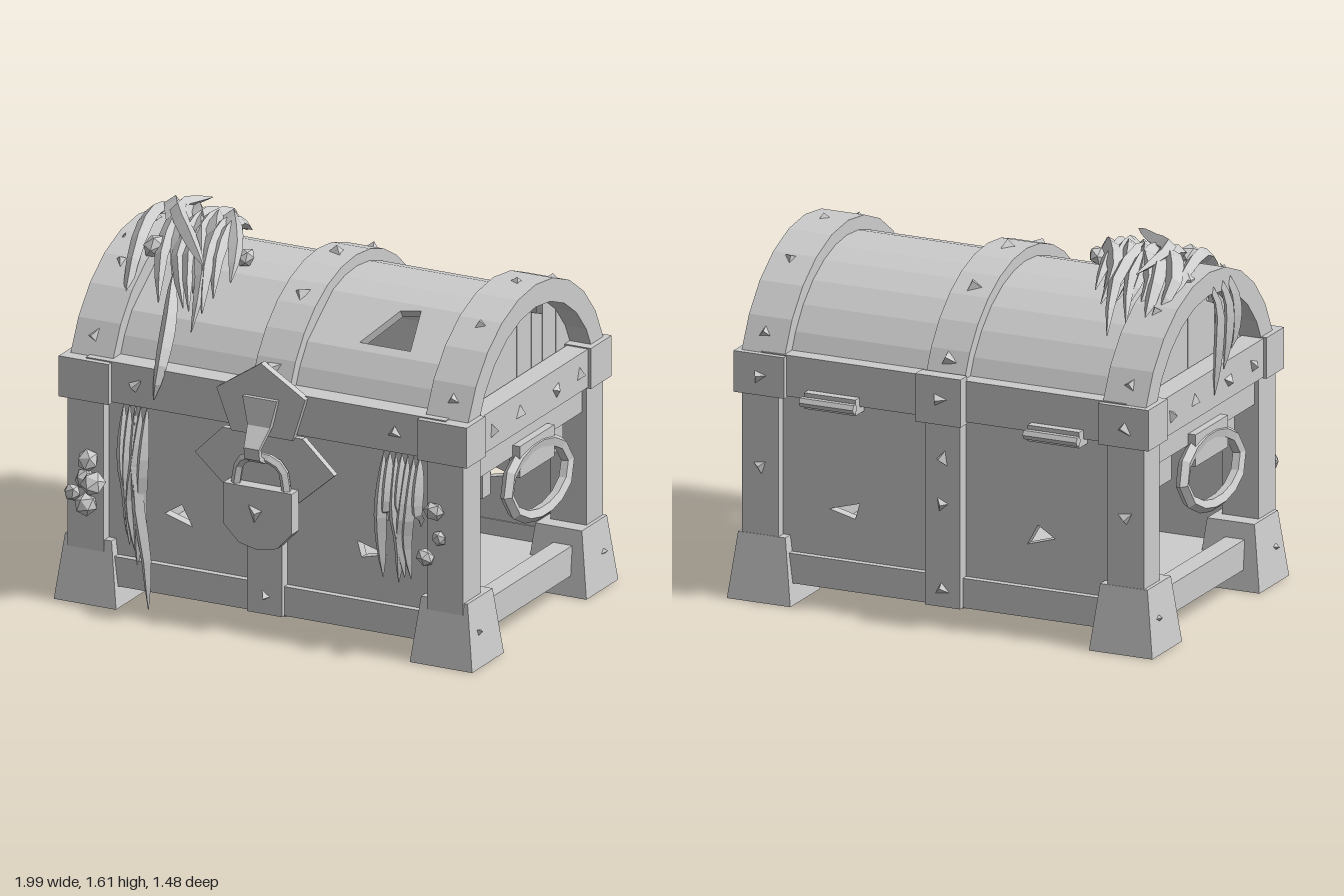
import * as THREE from 'three';

const grey = new THREE.MeshStandardMaterial({ color: 0xcccccc });
grey.name = 'plain grey';
const V = (x, y, z) => new THREE.Vector3(x, y, z);
const rad = (d) => d * Math.PI / 180;

export function createModel() {
  const root = new THREE.Group();
  root.name = 'treasureChest';

  // Faceted mesh helper
  const add = (name, geo) => {
    const g = geo.index ? geo.toNonIndexed() : geo;
    g.computeVertexNormals();
    const m = new THREE.Mesh(g, grey);
    m.name = name;
    root.add(m);
    return m;
  };
  // Box given by its limits
  const box = (name, x0, x1, y0, y1, z0, z1) => {
    const g = new THREE.BoxGeometry(x1 - x0, y1 - y0, z1 - z0);
    g.translate((x0 + x1) / 2, (y0 + y1) / 2, (z0 + z1) / 2);
    return add(name, g);
  };
  const outline = (pts) => pts.map(([x, y]) => new THREE.Vector2(x, y));
  const extrude = (pts, depth, holes = []) => {
    const s = new THREE.Shape(outline(pts));
    holes.forEach((h) => s.holes.push(new THREE.Path(outline(h))));
    return new THREE.ExtrudeGeometry(s, { depth, bevelEnabled: false });
  };
  const plate = (name, pts, z0, z1, holes) =>
    add(name, extrude(pts, z1 - z0, holes).translate(0, 0, z0));

  // The lid is a circular segment from 20 to 160 degrees; 20 is the front edge
  const ZC = -0.05, YC = 0.87;
  const arch = (deg, r) => [ZC + r * Math.cos(rad(deg)), YC + r * Math.sin(rad(deg))];
  // Profile in (z, y), extruded along x
  const alongX = (name, pts, x0, x1) =>
    add(name, extrude(pts, x1 - x0).rotateY(-Math.PI / 2).translate(x1, 0, 0));
  const band = (name, x0, x1, r, t, n) => {
    const pts = [];
    for (let i = 0; i <= n; i++) pts.push(arch(20 + 140 * i / n, r));
    for (let i = n; i >= 0; i--) pts.push(arch(20 + 140 * i / n, r - t));
    alongX(name, pts, x0, x1);
  };

  // Floor, bottom rails and broken wall panels
  box('floor', -0.9, 0.9, 0.1, 0.16, -0.6, 0.53);
  box('frontBottomRail', -0.8, 0.8, 0.1, 0.23, 0.5, 0.575);
  box('backBottomRail', -0.8, 0.8, 0.1, 0.23, -0.65, -0.57);
  box('floorStrap', -0.08, 0.08, 0.09, 0.1, -0.63, 0.56);
  const wall = [[-0.92, 0.12], [0.92, 0.12], [0.92, 0.96], [-0.92, 0.96]];
  const holes = [[[-0.5, 0.45], [-0.42, 0.5], [-0.37, 0.41]], [[0.41, 0.48], [0.55, 0.44], [0.43, 0.41]]];
  plate('frontPanel', wall, 0.5, 0.545, holes);
  plate('backPanel', wall, -0.62, -0.575, holes);

  // Feet, posts, end rails and handles on both ends
  for (const s of [-1, 1]) {
    const side = (name, x0, x1, ...r) => box(name, Math.min(s * x0, s * x1), Math.max(s * x0, s * x1), ...r);
    for (const z of [0.472, -0.555]) {
      const foot = new THREE.BoxGeometry(0.22, 0.29, 0.225);
      const p = foot.attributes.position;
      for (let i = 0; i < p.count; i++) {
        if (p.getY(i) < 0) p.setXYZ(i, p.getX(i) * 1.34, p.getY(i), p.getZ(i) * 1.27);
      }
      add('foot', foot.translate(s * 0.842, 0.155, z));
    }
    side('frontPost', 0.765, 0.935, 0.25, 0.95, 0.435, 0.595);
    side('backPost', 0.765, 0.935, 0.25, 0.95, -0.665, -0.515);
    side('endBottomRail', 0.82, 0.91, 0.1, 0.23, -0.53, 0.45);
    side('endTopRail', 0.83, 0.915, 0.8, 0.93, -0.53, 0.45);
    side('endRim', 0.85, 0.95, 0.92, 1.09, -0.67, 0.6);
    side('frontCorner', 0.73, 0.965, 0.915, 1.095, 0.45, 0.617);
    side('backCorner', 0.73, 0.965, 0.915, 1.095, -0.685, -0.5);
    side('handlePlate', 0.9, 0.95, 0.71, 0.85, -0.2, 0.11);
    side('handleBracket', 0.83, 0.88, 0.67, 0.81, 0.24, 0.315);
    side('handleBracket', 0.83, 0.88, 0.67, 0.81, -0.41, -0.29);
    const ring = [];
    for (let i = 0; i < 12; i++) {
      const c = Math.cos(i * Math.PI / 6), n = Math.sin(i * Math.PI / 6);
      ring.push(V(s * (0.948 - 0.02 * n), 0.66 + 0.145 * n, ZC + 0.27 * c));
    }
    add('handleRing', new THREE.TubeGeometry(new THREE.CatmullRomCurve3(ring, true), 14, 0.03, 5, true));

    // Lid end planks, some broken off short
    const edges = [0.46, 0.38, 0.3, 0.21, 0.13, 0.05, -0.05, -0.07, -0.2, -0.3, -0.42, -0.56];
    for (let i = 0; i < edges.length - 1; i++) {
      const short = { 3: 0.08, 6: 0.13, 8: 0.09 }[i] || 0;
      const top = (z) => Math.max(1.02, YC + Math.sqrt(0.57 ** 2 - (z - ZC) ** 2) - short);
      const a = edges[i] - 0.001, b = edges[i + 1] + 0.001;
      alongX('endPlank', [[b, 1.0], [a, 1.0], [a, top(a)], [b, top(b)]], s * 0.825 - 0.015, s * 0.825 + 0.015);
    }
    band('lidEndBand', s > 0 ? 0.74 : -0.94, s > 0 ? 0.94 : -0.74, 0.648, 0.1, 10);
  }
  box('frontRim', -0.85, 0.85, 0.92, 1.1, 0.48, 0.59);
  box('backRim', -0.85, 0.85, 0.92, 1.1, -0.66, -0.57);

  // Barrel lid of long planks, one with a hole
  const cuts = [20, 31, 42, 69, 80, 91, 102, 113, 125, 137, 149, 160];
  for (let i = 0; i < cuts.length - 1; i++) {
    const [z0, y0] = arch(cuts[i], 0.587), [z1, y1] = arch(cuts[i + 1], 0.587);
    const w = Math.hypot(z1 - z0, y1 - y0);
    const hole = [[0.32, 0.04], [0.43, w * 0.84], [0.52, w * 0.91], [0.56, 0.04]];
    const g = extrude([[-0.76, 0], [0.76, 0], [0.76, w], [-0.76, w]], 0.04, i === 2 ? [hole] : []);
    g.translate(0, 0, -0.04);
    g.rotateX(Math.atan2(z1 - z0, y1 - y0));
    add('lidPlank', g.translate(0, y0, z0));
  }
  band('lidMiddleBand', -0.09, 0.09, 0.638, 0.07, 12);

  // Middle straps and back hinges
  box('frontStrap', -0.085, 0.08, 0.1, 0.95, 0.54, 0.595);
  box('backStrap', -0.085, 0.08, 0.1, 0.95, -0.675, -0.61);
  box('backBracket', -0.105, 0.105, 0.91, 1.12, -0.715, -0.65);
  for (const x of [-0.53, 0.51]) {
    box('hingeLeaf', x - 0.12, x + 0.12, 0.89, 0.96, -0.7, -0.62);
    add('hingePin', new THREE.CylinderGeometry(0.022, 0.022, 0.25, 6).rotateZ(Math.PI / 2).translate(x, 0.925, -0.717));
  }

  // Lock plates, curved tapering hasp and padlock
  plate('upperLockPlate', [[-0.01, 1.22], [-0.22, 1.08], [-0.15, 0.9], [0.14, 0.9], [0.2, 1.09]], 0.58, 0.615);
  plate('lowerLockPlate', [[-0.2, 0.9], [-0.33, 0.77], [-0.16, 0.62], [0.16, 0.62], [0.33, 0.77], [0.18, 0.91]], 0.57, 0.6);
  const hasp = alongX('hasp', [[0.61, 1.07], [0.635, 1.07], [0.645, 0.95], [0.71, 0.87], [0.705, 0.82], [0.65, 0.79],
    [0.65, 0.81], [0.685, 0.835], [0.69, 0.865], [0.615, 0.95]], -1, 1);
  const hp = hasp.geometry.attributes.position;
  for (let i = 0; i < hp.count; i++) {
    hp.setX(i, -0.005 + hp.getX(i) * (0.036 + 0.24 * Math.max(0, hp.getY(i) - 0.88)));
  }
  hasp.geometry.computeVertexNormals();
  plate('padlockBody', [[-0.165, 0.68], [-0.165, 0.5], [-0.09, 0.425], [0, 0.405], [0.09, 0.425], [0.16, 0.5], [0.16, 0.68]], 0.595, 0.66);
  const shackle = new THREE.CatmullRomCurve3([V(-0.12, 0.67, 0.63), V(-0.1, 0.77, 0.63), V(-0.05, 0.81, 0.64), V(0.05, 0.81, 0.64), V(0.1, 0.77, 0.63), V(0.12, 0.67, 0.63)]);
  add('shackle', new THREE.TubeGeometry(shackle, 10, 0.022, 5));

  // Seeded random numbers
  let seed = 11;
  const rnd = (a, b) => {
    seed = (seed * 16807) % 2147483647;
    return a + (b - a) * seed / 2147483647;
  };

  // Chipped pyramid rivets pointing along a normal
  const rivet = (x, y, z, n, r = 0.042) => {
    const g = new THREE.ConeGeometry(r, 0.035, 3).translate(0, 0.01, 0).rotateX(rnd(-0.25, 0.25)).rotateY(rnd(0, 6));
    const m = add('rivet', g);
    m.quaternion.setFromUnitVectors(V(0, 1, 0), n.normalize());
    m.position.set(x, y, z);
  };
  for (const x of [-0.85, 0, 0.85]) {
    for (const t of [28, 60, 90, 120, 152]) {
      const [z, y] = arch(t, 0.64);
      rivet(x, y, z, V(0, Math.sin(rad(t)), Math.cos(rad(t))));
    }
  }
  for (const x of [-0.62, 0.61]) rivet(x, 1.01, 0.59, V(0, 0, 1));
  rivet(0, 0.18, 0.595, V(0, 0, 1), 0.03);
  rivet(-0.01, 0.57, 0.66, V(0, 0, 1), 0.05);
  for (const y of [0.18, 0.55, 0.75]) rivet(0, y, -0.675, V(0, 0, -1));
  rivet(0, 1.02, -0.715, V(0, 0, -1));
  for (const s of [-1, 1]) {
    for (const z of [0.35, 0.11, -0.21, -0.43]) rivet(s * 0.95, 1.0, z, V(s, 0, 0));
    rivet(s * 0.965, 0.16, 0.52, V(s, 0.2, 0), 0.025);
    rivet(s * 0.965, 0.16, -0.6, V(s, 0.2, 0), 0.025);
    rivet(s * 0.85, 1.0, -0.685, V(0, 0, -1));
    rivet(s * 0.85, 0.6, -0.665, V(0, 0, -1));
  }

  // Seaweed strands: tubes tapered to both tips
  const strand = (pts, r) => {
    const curve = new THREE.CatmullRomCurve3(pts), n = 8, sides = 4;
    const g = new THREE.TubeGeometry(curve, n, r, sides), p = g.attributes.position;
    for (let i = 0; i < p.count; i++) {
      const u = Math.floor(i / (sides + 1)) / n, c = curve.getPointAt(u);
      const v = V().fromBufferAttribute(p, i).sub(c).multiplyScalar(0.06 + Math.sin(Math.PI * u) ** 0.7 * 0.94).add(c);
      p.setXYZ(i, v.x, v.y, v.z);
    }
    add('seaweedStrand', g);
  };
  for (let k = 0; k < 13; k++) {
    const x0 = -0.88 + k * 0.03, x1 = x0 + rnd(0.05, 0.24), t0 = rnd(100, 138), t1 = rnd(36, 68), sway = rnd(-0.05, 0.05);
    const pts = [0, 0.25, 0.5, 0.75, 1].map((u) => {
      const [z, y] = arch(t0 + (t1 - t0) * u, 0.62 + 0.065 * Math.sin(Math.PI * u));
      return V(x0 + (x1 - x0) * u ** 1.4 + sway * Math.sin(2 * Math.PI * u), y, z);
    });
    strand(pts, rnd(0.032, 0.045));
  }
  strand([V(-0.72, 1.55, -0.3), V(-0.74, 1.59, -0.03), V(-0.6, 1.55, 0.15), V(-0.4, 1.515, 0.39)], 0.035);
  strand([V(-0.6, 1.42, 0.28), V(-0.53, 1.27, 0.45), V(-0.5, 1.1, 0.59), V(-0.52, 0.97, 0.61)], 0.035);
  const hang = (xa, xb, n, top, low) => {
    for (let k = 0; k < n; k++) {
      const x = xa + (xb - xa) * k / (n - 1), e = rnd(low, low + 0.35), d = rnd(-0.06, 0.04);
      strand([V(x, top, 0.57), V(x + d * 0.4, top - 0.25, 0.6), V(x + d, (top + e) / 2 - 0.1, 0.585), V(x + d * 0.5, e, 0.57)], 0.03);
    }
  };
  hang(-0.68, -0.57, 5, 0.92, 0.12);
  strand([V(-0.62, 0.9, 0.58), V(-0.6, 0.5, 0.6), V(-0.56, 0.25, 0.6), V(-0.55, 0.03, 0.6)], 0.03);
  hang(0.55, 0.72, 7, 0.91, 0.28);
  for (const z of [0.14, 0.07, -0.02]) {
    strand([V(-0.9, 1.5, z), V(-0.96, 1.36, z + 0.02), V(-0.97, 1.2, z), V(-0.96, 1.0 + z, z - 0.02)], 0.024);
  }

  // Barnacle lumps
  const lumps = [[-0.82, 0.66, 0.63, 0.05], [-0.77, 0.58, 0.68, 0.055], [-0.9, 0.5, 0.62, 0.04], [-0.83, 0.46, 0.63, 0.05],
    [-0.84, 0.57, 0.62, 0.045], [0.81, 0.7, 0.62, 0.045], [0.77, 0.49, 0.62, 0.045], [0.83, 0.58, 0.61, 0.035],
    [-0.73, 1.49, 0.2, 0.055], [-0.35, 1.47, 0.1, 0.045], [-0.88, 1.5, -0.15, 0.04]];
  for (const [x, y, z, r] of lumps) {
    add('barnacle', new THREE.IcosahedronGeometry(r, 0).scale(1, 0.8, 1.05).rotateX(x * 9).rotateZ(y * 5).translate(x, y, z));
  }
  return root;
}
